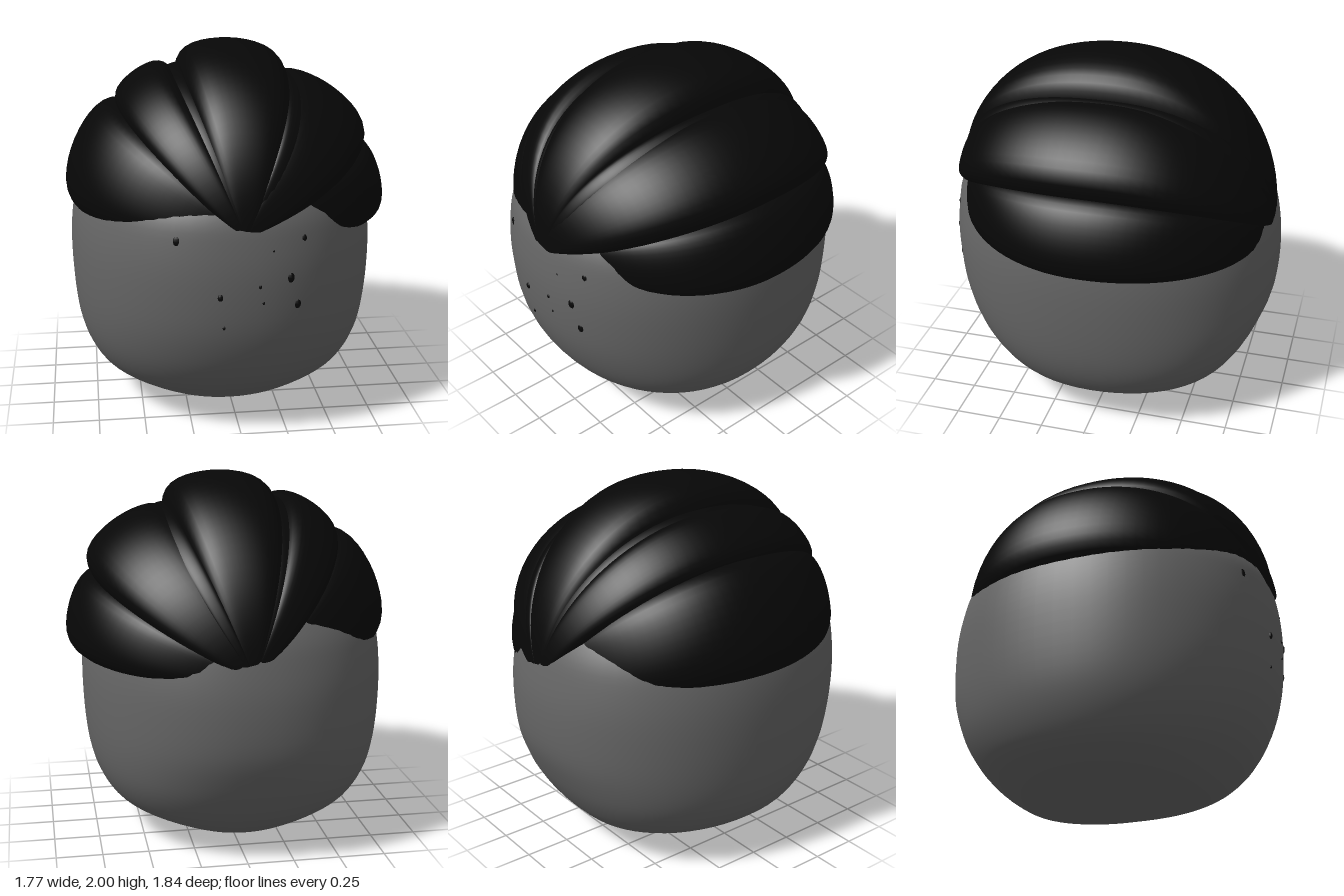
import * as THREE from 'three';

const skin = new THREE.MeshStandardMaterial({ color: 0x666666 });
const black = new THREE.MeshStandardMaterial({ color: 0x070707, side: THREE.DoubleSide });
const HEAD_X = -0.03;

// Head rings: height, half width, front depth, back depth
const RINGS = [
  [0, 0, 0, 0], [0.02, 0.17, 0.24, 0.27], [0.06, 0.31, 0.4, 0.47], [0.12, 0.49, 0.54, 0.59],
  [0.2, 0.65, 0.64, 0.68], [0.3, 0.735, 0.74, 0.755], [0.45, 0.795, 0.83, 0.835], [0.65, 0.825, 0.895, 0.905],
  [0.9, 0.835, 0.92, 0.92], [1.1, 0.82, 0.91, 0.895], [1.25, 0.78, 0.875, 0.85], [1.4, 0.7, 0.77, 0.75],
  [1.55, 0.55, 0.6, 0.58], [1.65, 0.38, 0.4, 0.4], [1.7, 0, 0, 0],
];
const spline = (k) => new THREE.CatmullRomCurve3(
  RINGS.map((r) => new THREE.Vector3(r[1], r[0], r[k])), false, 'catmullrom', 0.5);
const frontCurve = spline(2);
const backCurve = spline(3);

// Smooth surface from a grid of points given by fn(u, v), both 0..1
function surface(nu, nv, fn, wrap) {
  const pos = [], index = [];
  const cols = wrap ? nu : nu + 1;
  for (let j = 0; j <= nv; j++)
    for (let i = 0; i < cols; i++) pos.push(...fn(i / nu, j / nv));
  for (let j = 0; j < nv; j++)
    for (let i = 0; i < nu; i++) {
      const k = (i + 1) % cols;
      const a = j * cols + i, b = j * cols + k, c = a + cols, d = b + cols;
      index.push(a, c, b, b, c, d);
    }
  const g = new THREE.BufferGeometry();
  g.setAttribute('position', new THREE.Float32BufferAttribute(pos, 3));
  g.setIndex(index);
  g.computeVertexNormals();
  return g;
}

// Rounded head, fuller at the back corners of the jaw
function headPoint(u, v) {
  const a = u * Math.PI * 2;
  const s = Math.sin(a), c = Math.cos(a);
  const p = (s >= 0 ? frontCurve : backCurve).getPoint(v);
  const jaw = Math.exp(-Math.pow((p.y - 0.35) / 0.25, 2)) * Math.max(0, -s);
  const round = (n) => Math.sign(n) * Math.pow(Math.abs(n), 0.94 - 0.1 * jaw);
  return [HEAD_X + Math.max(p.x, 0) * round(c), Math.max(p.y, 0), Math.max(p.z, 0) * round(s)];
}

// Lock of hair: a swollen wedge swept front to back over the head, between two
// angles seen from the front. tilt thins its far edge, blunt squares its ends.
function hairLobe({ from, to, radius, tilt = 0, zFront = 0.896, zBack = 0.89, blunt = 2.15 }) {
  const mid = THREE.MathUtils.degToRad((from + to) / 2);
  const half = THREE.MathUtils.degToRad((to - from) / 2);
  return surface(24, 44, (u, v) => {
    const s = Math.sin((u - 0.5) * Math.PI);
    const along = Math.cos(v * Math.PI);
    const taper = Math.pow(Math.max(0, 1 - Math.pow(Math.abs(along), blunt)), 1 / blunt);
    const r = radius * taper * (1 - tilt * s - 0.04 * s * s - 0.24 * Math.pow(s, 6));
    const a = mid + half * s;
    const cy = 1.1 + (along > 0 ? 0.05 : -0.04) * along * along;
    return [r * Math.cos(a), cy + r * Math.sin(a), along * (along > 0 ? zFront : zBack)];
  });
}

const LOBES = {
  leftSideHair: { from: -8, to: 31, radius: 0.885, tilt: 0.03, zFront: 0.84, zBack: 0.88, blunt: 2.1 },
  leftTopHair: { from: 22, to: 73, radius: 0.87, tilt: 0.08 },
  frontLock: { from: 54, to: 70, radius: 0.8, zFront: 0.89, blunt: 2.3 },
  crownHair: { from: 62, to: 113, radius: 0.9 },
  narrowHair: { from: 103, to: 119, radius: 0.81 },
  rightTopHair: { from: 108, to: 141, radius: 0.875 },
  rightSideHair: { from: 130, to: 184, radius: 0.905, tilt: -0.01, zFront: 0.875, zBack: 0.85, blunt: 2.1 },
};

// Dark specks on the face: x, y, size
const SPECKS = [
  [-0.34, 1.13, 0.026], [0.3, 1.12, 0.022], [-0.13, 0.85, 0.017], [0.23, 0.93, 0.025],
  [0.27, 0.78, 0.025], [0.07, 0.9, 0.01], [0.09, 0.81, 0.008], [-0.11, 0.68, 0.009], [0.14, 1.08, 0.006],
];

export function createModel() {
  const model = new THREE.Group();

  const head = new THREE.Mesh(surface(64, 56, headPoint, true), skin);
  head.name = 'head';
  model.add(head);

  // Hair
  const hair = new THREE.Group();
  hair.name = 'hair';
  for (const [name, shape] of Object.entries(LOBES)) {
    const lobe = new THREE.Mesh(hairLobe(shape), black);
    lobe.name = name;
    hair.add(lobe);
  }
  model.add(hair);

  // Specks, flattened against the face
  const samples = frontCurve.getPoints(300);
  for (const [x, y, size] of SPECKS) {
    const p = samples.reduce((a, b) => (Math.abs(b.y - y) < Math.abs(a.y - y) ? b : a));
    const dx = (x - HEAD_X) / p.x;
    const z = p.z * Math.sqrt(1 - dx * dx);
    const speck = new THREE.Mesh(new THREE.SphereGeometry(size, 7, 6), black);
    speck.name = 'faceSpeck';
    speck.position.set(x, y, z + 0.004);
    speck.lookAt(x + dx, y, z + 1.5);
    speck.scale.set(0.85, 1.1, 0.5);
    model.add(speck);
  }
  return model;
}
